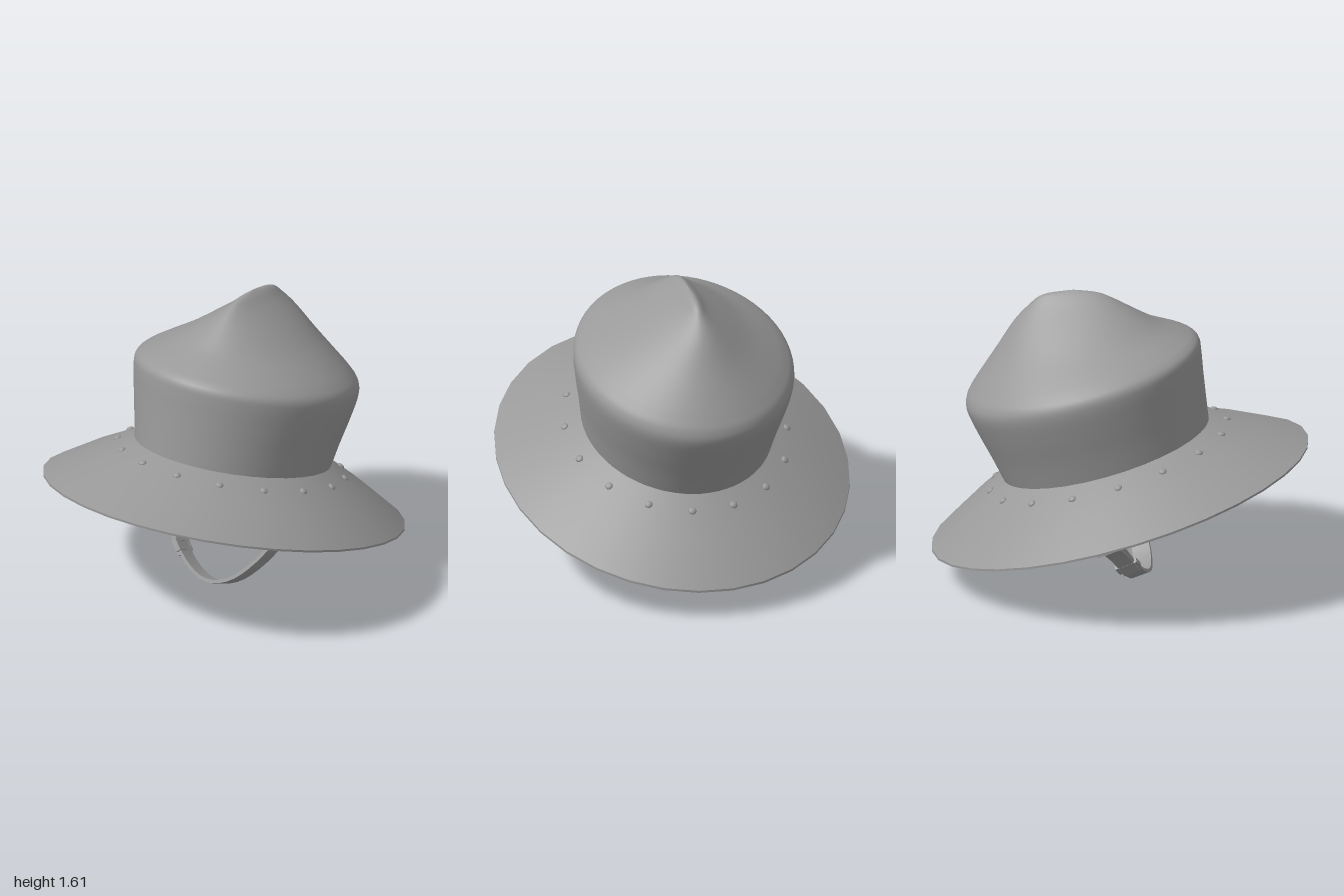
import * as THREE from 'three';
import { toCreasedNormals } from 'three/addons/utils/BufferGeometryUtils.js';

// A ring is [front z, front y, half width, back z, back y]: a tilted ellipse.
function ringPoint([zf, yf, rx, zb, yb], a) {
  const t = (1 + Math.cos(a)) / 2;
  return new THREE.Vector3(rx * Math.sin(a), yb + (yf - yb) * t, zb + (zf - zb) * t);
}

// Skin a stack of rings, each joined to the next.
function loft(rings, sides) {
  const pos = [], index = [];
  rings.forEach((ring, i) => {
    for (let j = 0; j < sides; j++) {
      pos.push(...ringPoint(ring, (j / sides) * Math.PI * 2).toArray());
      if (i === rings.length - 1) continue;
      const a = i * sides + j, b = i * sides + (j + 1) % sides;
      index.push(a, b, b + sides, a, b + sides, a + sides);
    }
  });
  const geo = new THREE.BufferGeometry();
  geo.setAttribute('position', new THREE.Float32BufferAttribute(pos, 3));
  geo.setIndex(index);
  geo.computeVertexNormals();
  return geo;
}

// Smooth a few key rings into many.
function smoothRings(keys, count) {
  const front = new THREE.CatmullRomCurve3(keys.map(k => new THREE.Vector3(k[0], k[1], k[2])), false, 'catmullrom', 0.5);
  const back = new THREE.CatmullRomCurve3(keys.map(k => new THREE.Vector3(k[3], k[4], 0)), false, 'catmullrom', 0.5);
  return Array.from({ length: count + 1 }, (_, i) => {
    const f = front.getPoint(i / count), b = back.getPoint(i / count);
    return [f.x, f.y, Math.max(f.z, 0), b.x, b.y];
  });
}

// Flat band following a curve in x/y, given thickness and width.
function band(points, thickness, width) {
  const curve = new THREE.SplineCurve(points.map(([x, y]) => new THREE.Vector2(x, (y - 0.03) / 0.915)));
  const left = [], right = [], n = 40;
  for (let i = 0; i <= n; i++) {
    const p = curve.getPoint(i / n), t = curve.getTangent(i / n);
    const off = new THREE.Vector2(-t.y, t.x).multiplyScalar(thickness / 2);
    left.push(p.clone().add(off));
    right.unshift(p.clone().sub(off));
  }
  const geo = new THREE.ExtrudeGeometry(new THREE.Shape([...left, ...right]), { depth: width, bevelEnabled: false });
  geo.translate(0, 0, -width / 2);
  return toCreasedNormals(geo, 0.6);
}

export function createModel() {
  const model = new THREE.Group();
  model.name = 'kettleHelmet';
  const steel = new THREE.MeshStandardMaterial({ color: 0x999999, side: THREE.DoubleSide });
  steel.name = 'grey steel';
  const add = (name, geo, parent = model) => {
    const mesh = new THREE.Mesh(geo, steel);
    mesh.name = name;
    parent.add(mesh);
    return mesh;
  };

  // Crown: flared wall, rounded shoulder, pinched ridge on top
  add('crown', loft(smoothRings([
    [0.47, 0.90, 0.505, -0.62, 0.56],
    [0.455, 1.03, 0.53, -0.685, 0.69],
    [0.44, 1.17, 0.56, -0.755, 0.82],
    [0.43, 1.28, 0.58, -0.812, 0.94],
    [0.42, 1.335, 0.572, -0.812, 1.01],
    [0.39, 1.365, 0.53, -0.78, 1.075],
    [0.33, 1.39, 0.46, -0.735, 1.15],
    [0.2, 1.44, 0.32, -0.655, 1.28],
    [0.05, 1.525, 0.17, -0.57, 1.42],
    [-0.04, 1.575, 0.08, -0.49, 1.515],
    [-0.12, 1.605, 0.03, -0.41, 1.58],
    [-0.25, 1.615, 0, -0.25, 1.615],
  ], 66), 64));

  // Brim: thin tilted cone reaching a little inside the crown
  const top = [
    [1.0, 0.785, 0.935, -1.0, 0.175],
    [0.74, 0.847, 0.735, -0.815, 0.375],
    [0.47, 0.90, 0.51, -0.62, 0.565],
    [0.38, 0.92, 0.40, -0.53, 0.658],
  ];
  const under = top.map(([zf, yf, rx, zb, yb]) => [zf, yf - 0.012, rx, zb, yb - 0.012]).reverse();
  add('brim', toCreasedNormals(loft([...under, ...top, under[0]], 32), 0.7));

  // Rivets: squashed domes around the brim
  const rivets = new THREE.Group();
  rivets.name = 'rivets';
  model.add(rivets);
  const seat = (a, k) => ringPoint(top[2], a).lerp(ringPoint(top[1], a), k);
  for (let i = 0; i < 16; i++) {
    const a = ((i + 0.5) / 16) * Math.PI * 2;
    const p = seat(a, 0.36);
    const out = seat(a, 1).sub(seat(a, 0));
    const along = seat(a + 0.05, 0.36).sub(seat(a - 0.05, 0.36));
    const normal = out.cross(along).normalize();
    const rivet = add('rivet', new THREE.SphereGeometry(0.021, 12, 8), rivets);
    rivet.scale.y = 0.6;
    rivet.position.copy(p);
    rivet.quaternion.setFromUnitVectors(new THREE.Vector3(0, 1, 0), normal);
  }

  // Chin strap, leaning forward at the bottom, with buckle and loose end
  const strap = new THREE.Group();
  strap.name = 'chinStrap';
  strap.position.set(0, 0.035, 0.12);
  strap.rotation.x = -0.412;
  model.add(strap);
  add('strapLoop', band([
    [-0.47, 0.75], [-0.46, 0.62], [-0.42, 0.48], [-0.36, 0.34], [-0.27, 0.2], [-0.15, 0.085], [0, 0.03],
    [0.15, 0.075], [0.28, 0.2], [0.38, 0.36], [0.44, 0.52], [0.467, 0.75],
  ], 0.018, 0.1), strap);
  add('strapEnd', band([[-0.2, 0.1], [-0.26, 0.17], [-0.34, 0.245], [-0.45, 0.315], [-0.55, 0.33]], 0.016, 0.09), strap);

  // Buckle: rectangular frame around the strap
  const frame = new THREE.Shape([[-0.035, -0.062], [0.035, -0.062], [0.035, 0.062], [-0.035, 0.062]].map(p => new THREE.Vector2(...p)));
  frame.holes.push(new THREE.Path([[-0.022, -0.048], [-0.022, 0.048], [0.022, 0.048], [0.022, -0.048]].map(p => new THREE.Vector2(...p))));
  const frameGeo = new THREE.ExtrudeGeometry(frame, { depth: 0.03, bevelEnabled: false });
  frameGeo.translate(0, 0, -0.015);
  frameGeo.rotateX(Math.PI / 2);
  const buckle = add('buckle', frameGeo, strap);
  buckle.position.set(-0.225, 0.125, 0);
  buckle.rotation.z = -0.8;
  return model;
}
